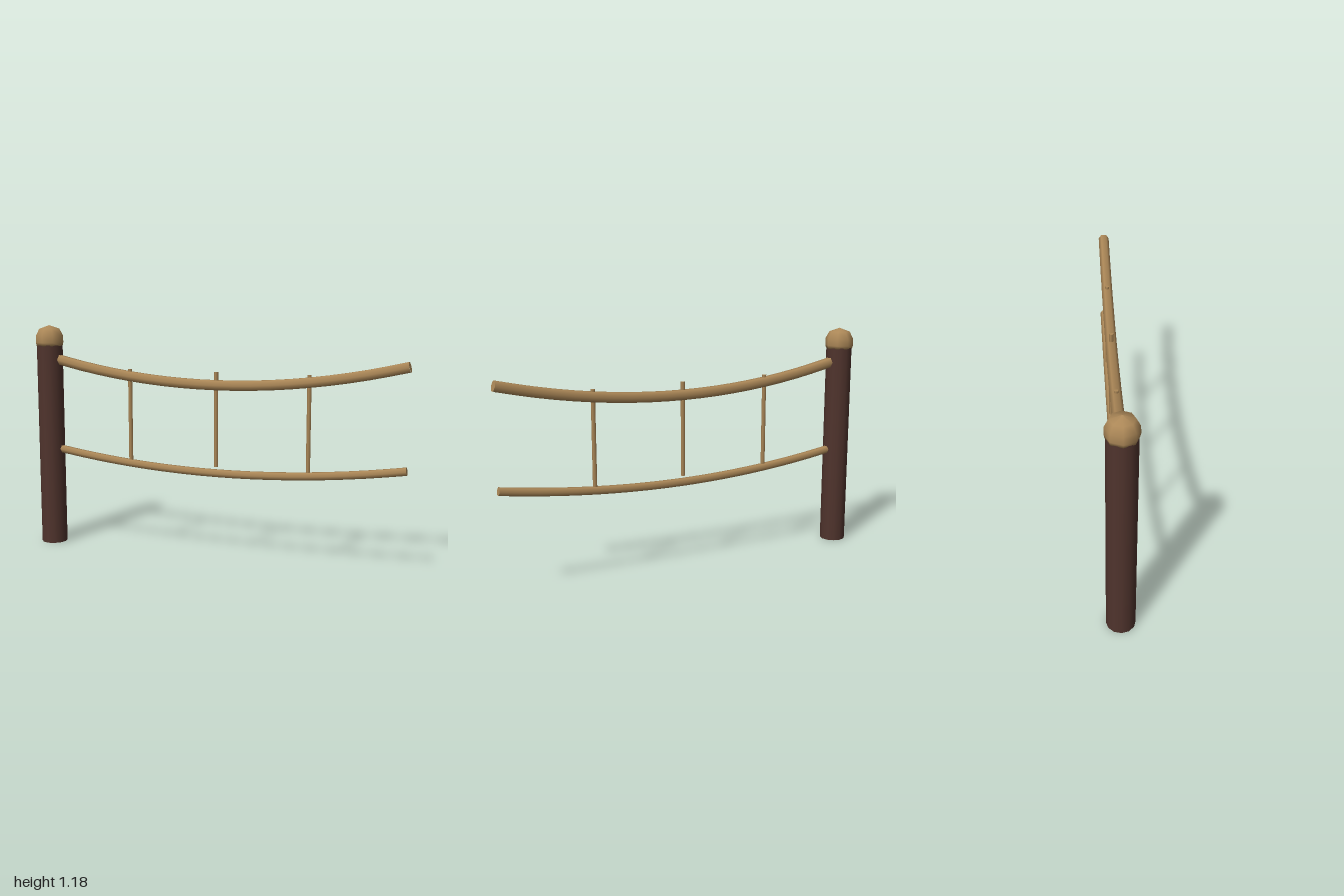
import * as THREE from 'three';

const POST_X = -0.926;
const MID_X = 0.034;   // lowest point of the sagging rails
const HALF = 0.955;    // half span of the rails

export function createModel() {
  const darkWood = new THREE.MeshStandardMaterial({ color: 0x50342d });
  darkWood.name = 'darkWood';
  const lightWood = new THREE.MeshStandardMaterial({ color: 0xab8757 });
  lightWood.name = 'lightWood';

  const model = new THREE.Group();
  model.name = 'ropeStyleFence';
  const add = (name, geometry, material, parent = model) => {
    const mesh = new THREE.Mesh(geometry, material);
    mesh.name = name;
    parent.add(mesh);
    return mesh;
  };

  // Post
  add('post', new THREE.CylinderGeometry(0.068, 0.068, 1.072, 12), darkWood)
    .position.set(POST_X, 0.536, 0);

  // Faceted round cap, closed underneath
  const capProfile = [[0, 1.068], [0.07, 1.068], [0.074, 1.085], [0.073, 1.122], [0.054, 1.158], [0, 1.177]]
    .map(([r, y]) => new THREE.Vector2(r, y));
  add('postCap', new THREE.LatheGeometry(capProfile, 8), lightWood).position.x = POST_X;

  // Sagging six-sided rails with closed ends
  const addRail = (name, low, rise, radius) => {
    const rail = new THREE.Group();
    rail.name = name;
    model.add(rail);
    const points = [];
    for (let i = 0; i <= 12; i++) {
      const t = i / 6 - 1;
      points.push(new THREE.Vector3(MID_X + t * HALF, low + rise * t * t, 0));
    }
    const curve = new THREE.CatmullRomCurve3(points);
    add(name + 'Pole', new THREE.TubeGeometry(curve, 20, radius, 6), lightWood, rail);
    for (const side of [-1, 1]) {
      const end = add(name + 'End', new THREE.CircleGeometry(radius, 6).rotateY(side * Math.PI / 2), lightWood, rail);
      end.position.copy(points[side < 0 ? 0 : 12]);
      end.rotation.z = side * Math.atan(2 * rise / HALF);
    }
  };
  addRail('upperRail', 0.891, 0.117, 0.028);
  addRail('lowerRail', 0.446, 0.078, 0.021);

  // Thin uprights
  for (const offset of [-0.48, 0, 0.48]) {
    add('upright', new THREE.CylinderGeometry(0.0105, 0.0105, 0.478, 6), lightWood)
      .position.set(MID_X + offset, 0.718, 0);
  }

  return model;
}
